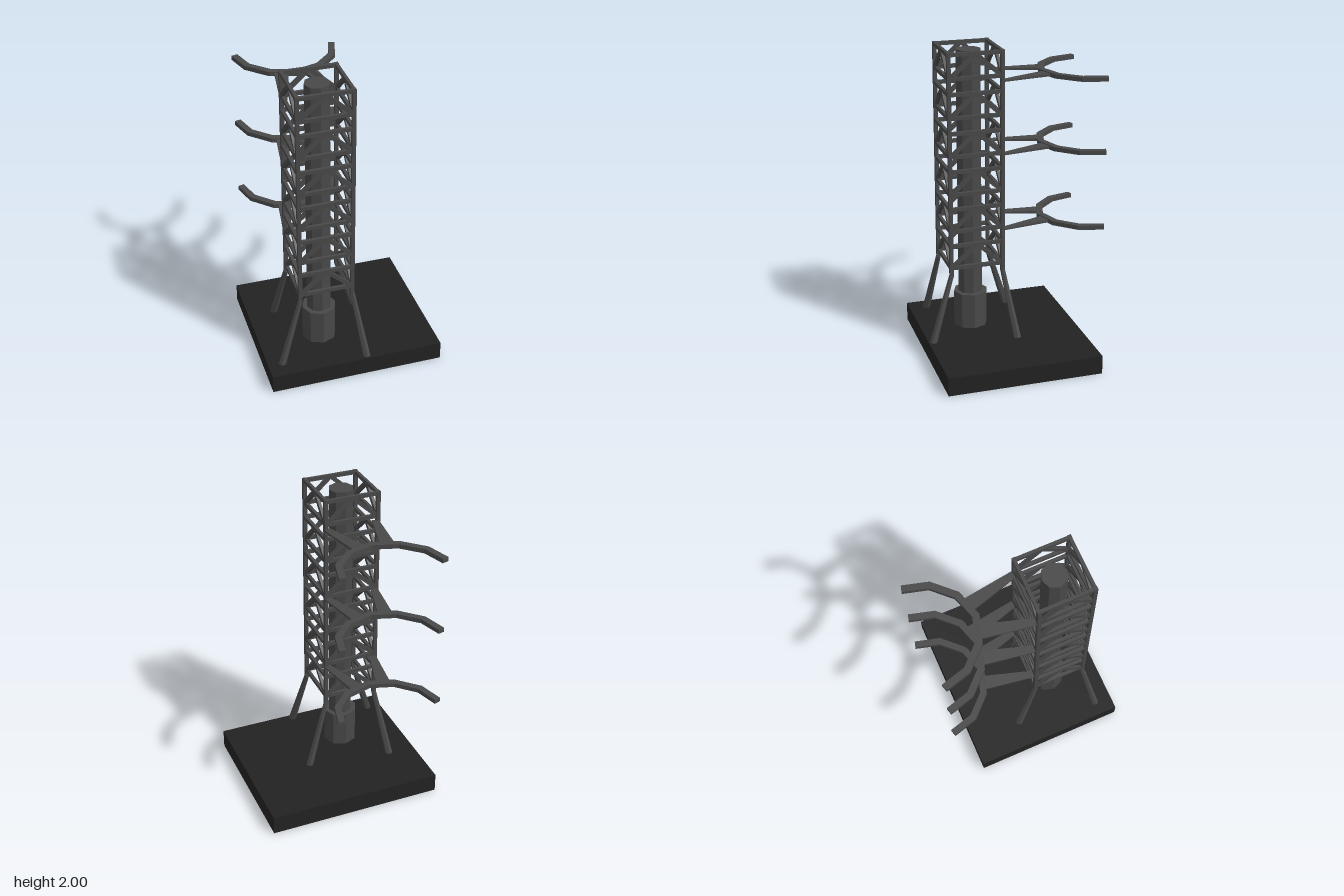
import * as THREE from 'three';

const V = (x, y, z) => new THREE.Vector3(x, y, z);

export function createModel() {
  const steel = new THREE.MeshStandardMaterial({ color: 0x484848 });
  steel.name = 'dark grey steel';
  const concrete = new THREE.MeshStandardMaterial({ color: 0x222222 });
  concrete.name = 'charcoal base';

  const model = new THREE.Group();
  model.name = 'serviceTower';
  const turn = 0.679;

  const add = (parent, geometry, material, name) => {
    const mesh = new THREE.Mesh(geometry, material);
    mesh.name = name;
    parent.add(mesh);
    return mesh;
  };

  // Square bar between two points; "inset" shortens both ends
  const beam = (parent, a, b, w, h, name) => {
    const mesh = new THREE.Mesh(new THREE.BoxGeometry(w, h, a.distanceTo(b)), steel);
    mesh.name = name;
    mesh.position.copy(a).lerp(b, 0.5);
    mesh.lookAt(b);
    parent.add(mesh);
    return mesh;
  };

  // Base slab
  const base = add(model, new THREE.BoxGeometry(1.137, 0.122, 1.004), concrete, 'baseSlab');
  base.position.set(0.0125, 0.061, 0);
  base.rotation.y = turn;

  const tower = new THREE.Group();
  tower.name = 'tower';
  tower.position.set(-0.014, 0, 0.224);
  tower.rotation.y = turn;
  model.add(tower);

  // Central octagonal column with its collar
  const octagon = (r, y0, y1, name) => {
    const g = new THREE.CylinderGeometry(r, r, y1 - y0, 8).toNonIndexed();
    g.computeVertexNormals();
    add(tower, g, steel, name).position.y = (y0 + y1) / 2;
  };
  octagon(0.08, 0.12, 1.98, 'column');
  octagon(0.112, 0.12, 0.36, 'columnCollar');

  // Four identical sides: post, splayed leg, rails and braces
  const H = 0.171, BAR = 0.024;
  for (let s = 0; s < 4; s++) {
    const side = new THREE.Group();
    side.name = 'towerSide' + (s + 1);

    const post = add(side, new THREE.BoxGeometry(BAR, 1.46, BAR), steel, 'post');
    post.position.set(H, 1.27, H);

    const top = V(H, 0.55, H), foot = V(0.23, 0.11, 0.315);
    const legGeo = new THREE.CylinderGeometry(0.016, 0.025, top.distanceTo(foot), 6).toNonIndexed();
    legGeo.computeVertexNormals();
    const leg = add(side, legGeo, steel, 'leg');
    leg.position.copy(top).lerp(foot, 0.5);
    leg.quaternion.setFromUnitVectors(V(0, 1, 0), top.clone().sub(foot).normalize());

    for (let k = 0; k < 6; k++) {
      const lo = 0.6 + 0.2476 * k, hi = lo + 0.149;
      for (const y of [lo, hi]) beam(side, V(-H, y, H), V(H, y, H), 0.02, BAR, 'rail');
      for (const m of [-1, 1]) {
        beam(side, V(m * (H - 0.006), lo, H), V(0, hi, H), 0.019, 0.026, 'brace');
      }
    }
    side.rotation.y = s * Math.PI / 2;
    tower.add(side);
  }

  // Clamp outline: a mitred strip along a mirrored path
  const half = [[0.32, -0.803], [0.277, -0.648], [0.158, -0.526]];
  const path = [...half, [0, -0.477], ...half.map(([x, z]) => [-x, z]).reverse()]
    .map(([x, z]) => new THREE.Vector2(x, -z));
  const offset = (d) => path.map((p, i) => {
    const into = p.clone().sub(path[Math.max(i - 1, 0)]).normalize();
    const out = path[Math.min(i + 1, path.length - 1)].clone().sub(p).normalize();
    const t = into.add(out).normalize();
    const ref = (i ? p.clone().sub(path[i - 1]) : path[1].clone().sub(p)).normalize();
    return new THREE.Vector2(-t.y, t.x).multiplyScalar(d / t.dot(ref)).add(p);
  });
  const clampShape = new THREE.Shape([...offset(0.021), ...offset(-0.021).reverse()]);
  const clampGeo = new THREE.ExtrudeGeometry(clampShape, { depth: 0.028, bevelEnabled: false });
  clampGeo.rotateX(-Math.PI / 2).translate(0, -0.014, 0);

  // Arm: flat bar widening from post to clamp
  const strutGeo = new THREE.BoxGeometry(1, 1, 1);
  const p = strutGeo.attributes.position;
  for (let i = 0; i < p.count; i++) {
    const far = p.getZ(i) > 0;
    p.setX(i, p.getX(i) * (far ? 0.088 : 0.042));
    p.setY(i, p.getY(i) * (far ? 0.018 : 0.008) + (far ? 0 : -0.006));
    p.setZ(i, p.getZ(i) * 0.33);
  }
  strutGeo.computeVertexNormals();

  for (const y of [0.835, 1.338, 1.81]) {
    const arm = new THREE.Group();
    arm.name = 'swingArm';
    add(arm, clampGeo, steel, 'clamp').position.x = 0.012;
    for (const m of [-1, 1]) {
      const strut = add(arm, strutGeo, steel, 'armStrut');
      strut.position.set(m * 0.124 + 0.004, 0, -0.33);
      strut.rotation.y = Math.atan2(-m * 0.073, -0.32);
    }
    arm.position.y = y;
    tower.add(arm);
  }

  return model;
}
